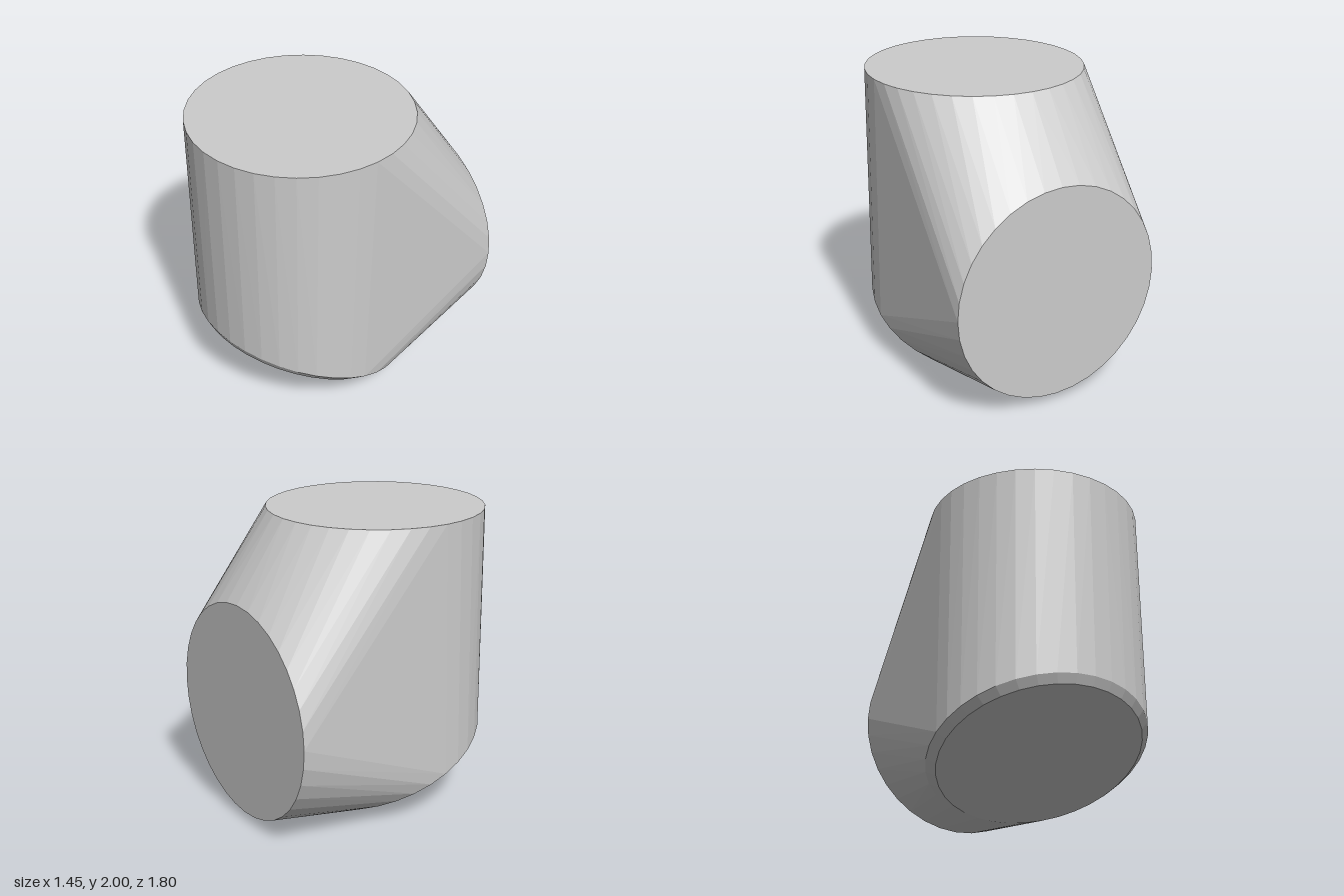
import * as THREE from 'three';
import { ConvexGeometry } from 'three/addons/geometries/ConvexGeometry.js';

const SEGMENTS = 36;

// Points of a circle facing up, tipped about the x axis
function ring(y, z, radius, tilt) {
  return Array.from({ length: SEGMENTS }, (_, i) => {
    const a = (i / SEGMENTS) * Math.PI * 2;
    return new THREE.Vector3(Math.sin(a) * radius, 0, Math.cos(a) * radius)
      .applyAxisAngle(new THREE.Vector3(1, 0, 0), tilt)
      .add(new THREE.Vector3(0, y, z));
  });
}

export function createModel() {
  const group = new THREE.Group();
  group.name = 'elbowBlock';

  const slope = -Math.atan2(0.51, 1.24); // the base rises towards the front
  const points = [
    ...ring(2, 0.1775, 0.7225, 0), // top face
    ...ring(0.78, -0.9, 0.72, Math.PI / 2), // back face
    ...ring(0.296, 0.226, 0.725, slope), // upper edge of the base chamfer
    ...ring(0.255, 0.25, 0.67, slope), // sloping base face
  ];

  // Solid skin stretched tightly over the rings
  const body = new THREE.Mesh(
    new ConvexGeometry(points),
    new THREE.MeshStandardMaterial({ color: 0xcccccc, flatShading: true })
  );
  body.name = 'body';
  group.add(body);
  return group;
}
